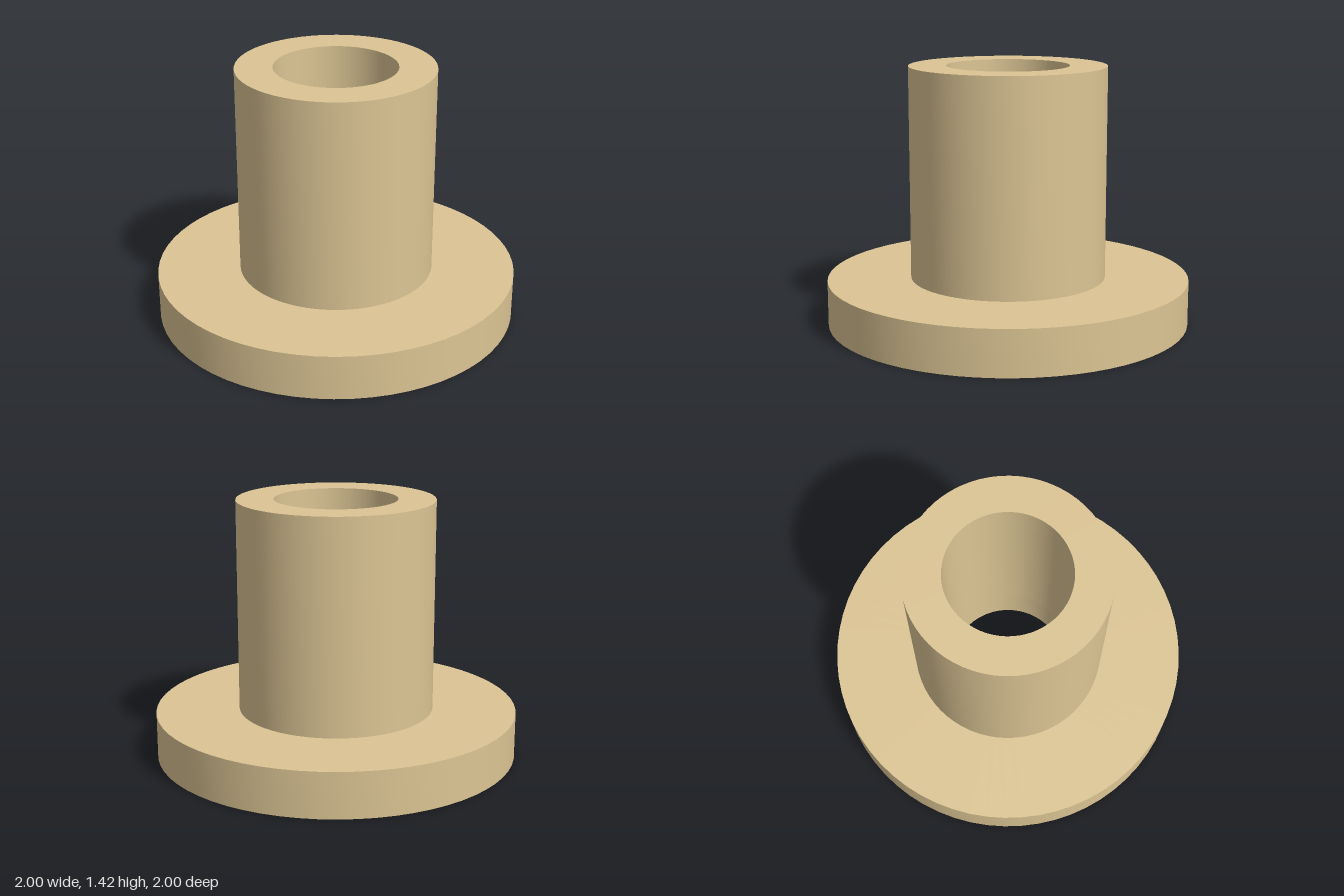
import * as THREE from 'three';
import { toCreasedNormals } from 'three/addons/utils/BufferGeometryUtils.js';

const BORE = 0.335, SLEEVE = 0.54, FLANGE = 1;
const FLANGE_TOP = 0.25, HEIGHT = 1.42;

export function createModel() {
  const group = new THREE.Group();
  group.name = 'flangedBushing';
  const material = new THREE.MeshStandardMaterial({ color: 0xdcc594 });

  // Revolve a [radius, height] profile, keeping its corners sharp
  function addTurned(name, profile) {
    const points = profile.map(([r, y]) => new THREE.Vector2(r, y));
    const geometry = toCreasedNormals(new THREE.LatheGeometry(points, 64), 0.6);
    const mesh = new THREE.Mesh(geometry, material);
    mesh.name = name;
    group.add(mesh);
  }

  // Wide base disc with the lower part of the bore
  addTurned('flange', [
    [BORE, FLANGE_TOP], [BORE, 0], [FLANGE, 0], [FLANGE, FLANGE_TOP], [SLEEVE, FLANGE_TOP],
  ]);

  // Upright tube with the upper part of the bore
  addTurned('sleeve', [
    [SLEEVE, FLANGE_TOP], [SLEEVE, HEIGHT], [BORE, HEIGHT], [BORE, FLANGE_TOP],
  ]);

  return group;
}
